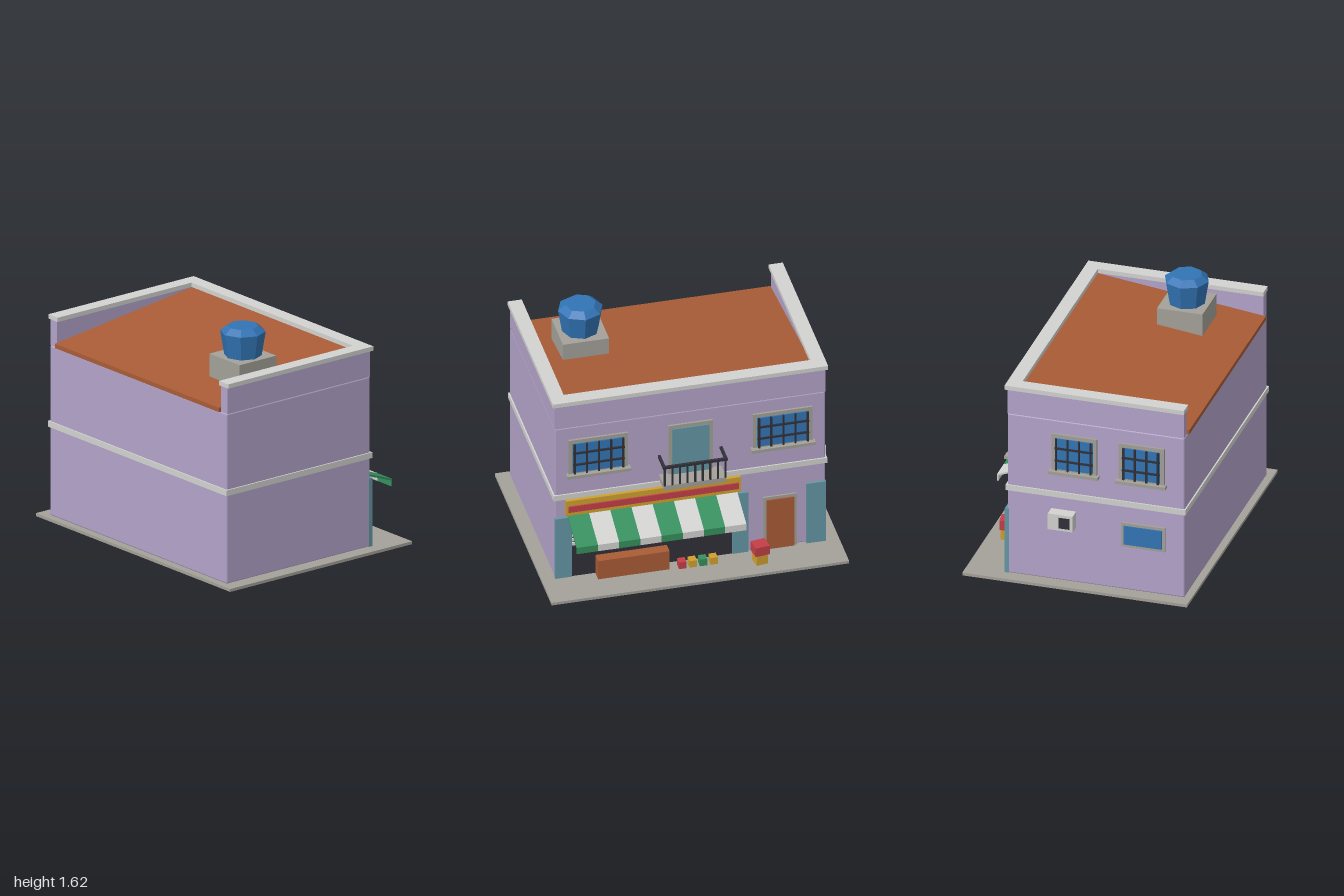
import * as THREE from 'three';
import { RoundedBoxGeometry } from 'three/addons/geometries/RoundedBoxGeometry.js';

const mat = (name, color, extra = {}) => {
  const m = new THREE.MeshStandardMaterial({ color, ...extra });
  m.name = name;
  return m;
};

export function createModel() {
  const wall = mat('lilac wall', 0xb3a3c9);
  const concrete = mat('concrete grey', 0xa3a198);
  const white = mat('off white', 0xd2d2d0);
  const brown = mat('terracotta', 0xa95c36);
  const blue = mat('blue', 0x3274b5, { flatShading: true });
  const teal = mat('teal', 0x6497a4);
  const dark = mat('dark metal', 0x303038);
  const green = mat('green', 0x36905e);
  const red = mat('red', 0xc43f47);
  const yellow = mat('yellow', 0xcfa02f);

  const root = new THREE.Group();
  root.name = 'cornerShop';

  const add = (parent, name, geo, m) => {
    const mesh = new THREE.Mesh(geo, m);
    mesh.name = name;
    parent.add(mesh);
    return mesh;
  };
  // Box given by its extents
  const box = (p, name, m, x0, x1, y0, y1, z0, z1) => {
    const g = new THREE.BoxGeometry(x1 - x0, y1 - y0, z1 - z0);
    g.translate((x0 + x1) / 2, (y0 + y1) / 2, (z0 + z1) / 2);
    return add(p, name, g, m);
  };
  // Prism along x from a [z, y] profile
  const prism = (p, name, m, pts, x0, x1) => {
    const s = new THREE.Shape(pts.map(([z, y]) => new THREE.Vector2(z, y)));
    const g = new THREE.ExtrudeGeometry(s, { depth: x1 - x0, bevelEnabled: false });
    g.rotateY(-Math.PI / 2).translate(x1, 0, 0);
    return add(p, name, g, m);
  };
  const group = (name, x, y, z, ry = 0) => {
    const g = new THREE.Group();
    g.name = name;
    g.position.set(x, y, z);
    g.rotation.y = ry;
    root.add(g);
    return g;
  };

  // Ground slab, two storeys and belt course
  box(root, 'groundSlab', concrete, -1, 1, 0, 0.02, -0.77, 0.765);
  for (const [name, y0, y1] of [['lowerStorey', 0.02, 0.65], ['upperStorey', 0.65, 1.19]]) {
    const m = add(root, name, new RoundedBoxGeometry(1.82, y1 - y0, 1.21, 1, 0.01), wall);
    m.position.set(0, (y0 + y1) / 2, 0.115);
  }
  box(root, 'beltCourse', white, -0.92, 0.92, 0.63, 0.67, -0.5, 0.73);

  // Parapet on three sides, with coping
  for (const s of [-1, 1]) {
    const side = (name, m, a, b, y0, y1, z0, z1) =>
      box(root, name, m, Math.min(s * a, s * b), Math.max(s * a, s * b), y0, y1, z0, z1);
    side('parapetSide', wall, 0.845, 0.91, 1.19, 1.37, -0.49, 0.715);
    side('copingSide', white, 0.83, 0.925, 1.37, 1.4, -0.41, 0.72);
  }
  box(root, 'parapetStreet', wall, -0.845, 0.845, 1.19, 1.37, -0.49, -0.425);
  box(root, 'copingStreet', white, -0.925, 0.925, 1.37, 1.4, -0.505, -0.41);

  // Sloping roof
  prism(root, 'roof', brown,
    [[0.732, 1.19], [0.732, 1.22], [-0.425, 1.362], [-0.425, 1.19]], -0.845, 0.845);

  // Water tank on its plinth
  box(root, 'tankPlinth', concrete, 0.39, 0.7, 1.25, 1.413, 0.13, 0.44);
  const tank = group('waterTank', 0.545, 1.413, 0.285);
  add(tank, 'tankBody', new THREE.CylinderGeometry(0.15, 0.123, 0.165, 8), blue).position.y = 0.0825;
  add(tank, 'tankLid', new THREE.CylinderGeometry(0.103, 0.15, 0.037, 8), blue).position.y = 0.1835;

  // Barred window, facing local +z, base at the sill
  const barredWindow = (name, x, z, ry, w) => {
    const g = group(name, x, 0.81, z, ry);
    const h = w / 2, n = w > 0.35 ? 5 : 4, gw = h - 0.027;
    box(g, 'frame', concrete, -h, h, 0.02, 0.285, -0.01, 0.015);
    box(g, 'sill', concrete, -h - 0.015, h + 0.015, 0, 0.022, -0.01, 0.045);
    box(g, 'glass', blue, -gw, gw, 0.035, 0.258, 0.015, 0.024);
    for (let i = 0; i < n; i++) {
      const bx = -gw + 0.01 + (i * (2 * gw - 0.02)) / (n - 1);
      box(g, 'bar', dark, bx - 0.006, bx + 0.006, 0.03, 0.262, 0.026, 0.038);
    }
    for (const y of [0.1, 0.19]) box(g, 'crossBar', dark, -gw, gw, y - 0.006, y + 0.006, 0.024, 0.035);
  };
  for (const x of [-0.62, 0.62]) barredWindow('streetWindow', x, -0.49, Math.PI, 0.4);
  for (const z of [-0.03, 0.43]) barredWindow('sideWindow', -0.91, z, -Math.PI / 2, 0.31);

  // Small lower side window and air conditioner
  box(root, 'lowWindowFrame', concrete, -0.925, -0.9, 0.34, 0.515, 0.29, 0.59);
  box(root, 'lowWindowGlass', blue, -0.932, -0.925, 0.36, 0.495, 0.31, 0.57);
  box(root, 'airConditioner', white, -0.99, -0.9, 0.425, 0.54, -0.19, -0.02);
  box(root, 'airConditionerGrille', dark, -0.997, -0.99, 0.445, 0.52, -0.115, -0.04);

  // Balcony with door and railing
  box(root, 'balconyDoorFrame', concrete, -0.15, 0.15, 0.71, 1.1, -0.505, -0.48);
  box(root, 'balconyDoor', teal, -0.125, 0.125, 0.72, 1.075, -0.513, -0.505);
  box(root, 'balconySlab', concrete, -0.21, 0.21, 0.685, 0.72, -0.63, -0.48);
  box(root, 'railFront', dark, -0.217, 0.217, 0.855, 0.873, -0.636, -0.618);
  for (const s of [-0.208, 0.208]) {
    box(root, 'railSide', dark, s - 0.009, s + 0.009, 0.855, 0.873, -0.618, -0.49);
  }
  for (let i = 0; i < 9; i++) {
    const x = -0.204 + i * 0.051;
    box(root, 'baluster', dark, x - 0.006, x + 0.006, 0.72, 0.856, -0.633, -0.621);
  }

  // Shop opening with half-lowered slatted shutter
  box(root, 'shopOpening', dark, -0.28, 0.8, 0.02, 0.5, -0.502, -0.48);
  for (let i = 0; i < 7; i++) {
    const y = 0.268 + i * 0.033;
    box(root, 'shutterSlat', white, -0.28, 0.8, y, y + 0.02, -0.512, -0.502);
  }
  box(root, 'shutterBar', dark, -0.28, 0.8, 0.245, 0.263, -0.518, -0.5);

  // Teal pilasters
  for (const [x0, x1] of [[0.8, 0.91], [-0.39, -0.28], [-0.91, -0.78]]) {
    box(root, 'pilaster', teal, x0, x1, 0.02, 0.49, -0.508, -0.48);
  }

  // House door
  box(root, 'doorFrame', concrete, -0.715, -0.49, 0.02, 0.425, -0.503, -0.48);
  box(root, 'door', brown, -0.695, -0.51, 0.02, 0.405, -0.512, -0.503);

  // Blank sign board with a raised red band
  box(root, 'signBoard', yellow, -0.335, 0.84, 0.51, 0.625, -0.516, -0.48);
  box(root, 'signBand', red, -0.32, 0.825, 0.54, 0.585, -0.526, -0.516);

  // Striped awning with a hanging edge
  const awning = [[-0.485, 0.507], [-0.745, 0.41], [-0.745, 0.36],
    [-0.736, 0.36], [-0.736, 0.4], [-0.485, 0.493]];
  const stripe = 1.14 / 8;
  for (let i = 0; i < 8; i++) {
    const x = -0.315 + i * stripe;
    prism(root, 'awningStripe', i % 2 ? green : white, awning, x, x + stripe);
  }

  // Counter, small produce boxes and the stacked crates
  box(root, 'counter', brown, 0.16, 0.64, 0.02, 0.163, -0.58, -0.505);
  [red, yellow, green, yellow].forEach((m, i) => {
    const x = 0.075 - i * 0.07;
    box(root, 'produceBox', m, x - 0.025, x + 0.025, 0.02, 0.072, -0.595, -0.54);
  });
  const crates = group('crateStack', -0.435, 0, -0.635, 0.14);
  box(crates, 'lowerCrate', yellow, -0.04, 0.04, 0.02, 0.095, -0.04, 0.04);
  box(crates, 'upperCrate', red, -0.05, 0.05, 0.095, 0.163, -0.047, 0.047);

  return root;
}
